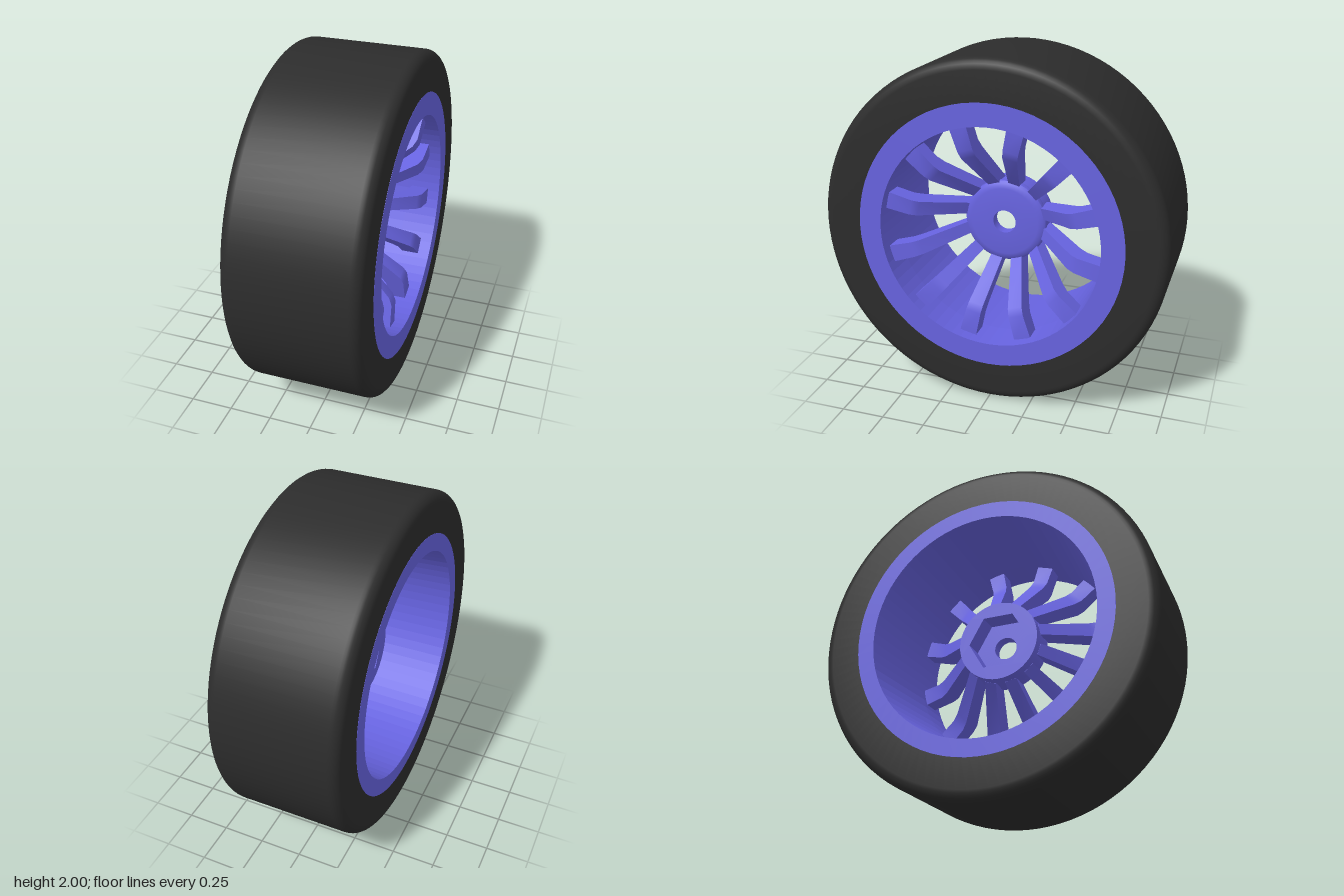
import * as THREE from 'three';
import { toCreasedNormals } from 'three/addons/utils/BufferGeometryUtils.js';

const rubber = new THREE.MeshStandardMaterial({ color: 0x2c2c2c });
const paint = new THREE.MeshStandardMaterial({ color: 0x6763e0 });

// Ring turned around the x axis; the closed profile lists [radius, x], outer side towards +x
function turned(name, profile, material, segments, crease) {
  const points = [...profile, profile[0]].map(([r, x]) => new THREE.Vector2(r, x));
  const geo = new THREE.LatheGeometry(points, segments);
  geo.rotateZ(-Math.PI / 2);
  const mesh = new THREE.Mesh(toCreasedNormals(geo, crease), material);
  mesh.name = name;
  return mesh;
}

// Tyre with rounded shoulders
function makeTyre() {
  const half = 0.375, round = 0.06, steps = 6;
  const profile = [[0.765, -half]];
  for (const side of [-1, 1]) {
    for (let i = 0; i <= steps; i++) {
      const t = (side < 0 ? i : steps - i) / steps * Math.PI / 2;
      profile.push([1 - round + round * Math.sin(t), side * (half - round + round * Math.cos(t))]);
    }
  }
  profile.push([0.765, half]);
  return turned('tyre', profile, rubber, 96, 0.6);
}

// Spoke: side profile extruded across its width, tapering towards the hub
function makeSpokeGeometry() {
  const profile = [
    [0.02, 0.2], [0.06, 0.24], [0.28, 0.455], [0.3, 0.5], [0.305, 0.65],
    [0.2, 0.65], [0.19, 0.53], [0.16, 0.48], [-0.06, 0.24], [-0.06, 0.2],
  ];
  const shape = new THREE.Shape(profile.map(([x, r]) => new THREE.Vector2(x, r)));
  const geo = new THREE.ExtrudeGeometry(shape, { depth: 1, bevelEnabled: false });
  geo.translate(0, 0, -0.5);
  const pos = geo.attributes.position;
  for (let i = 0; i < pos.count; i++) {
    const width = THREE.MathUtils.mapLinear(pos.getY(i), 0.24, 0.64, 0.07, 0.1);
    pos.setZ(i, pos.getZ(i) * width);
  }
  return toCreasedNormals(geo, 0.7);
}

// Hexagonal drive socket at the back of the hub
function makeSocket() {
  const shape = new THREE.Shape().absarc(0, 0, 0.24, 0, Math.PI * 2);
  const hex = new THREE.Path();
  for (let i = 0; i < 6; i++) {
    const a = -i * Math.PI / 3;
    hex[i ? 'lineTo' : 'moveTo'](0.18 * Math.cos(a), 0.18 * Math.sin(a));
  }
  hex.closePath();
  shape.holes.push(hex);
  const geo = new THREE.ExtrudeGeometry(shape, { depth: 0.13, bevelEnabled: false, curveSegments: 24 });
  geo.rotateY(Math.PI / 2);
  geo.translate(-0.12, 0, 0);
  const mesh = new THREE.Mesh(toCreasedNormals(geo, 0.6), paint);
  mesh.name = 'hexSocket';
  return mesh;
}

export function createModel() {
  const wheel = new THREE.Group();
  wheel.name = 'wheel';
  wheel.position.y = 1;

  wheel.add(makeTyre());

  // Rim barrel, slightly wider inside at the open back
  wheel.add(turned('rim', [
    [0.67, -0.376], [0.77, -0.376], [0.77, 0.376], [0.64, 0.376], [0.64, 0.17],
  ], paint, 72, 0.05));

  // Hub plate with a rounded front edge and an axle bore
  wheel.add(turned('hub', [
    [0.068, 0], [0.24, 0], [0.245, 0.02], [0.243, 0.045], [0.23, 0.058], [0.2, 0.065], [0.068, 0.065],
  ], paint, 48, 0.7));
  wheel.add(makeSocket());

  const spokes = new THREE.Group();
  spokes.name = 'spokes';
  const spokeGeometry = makeSpokeGeometry();
  for (let i = 0; i < 12; i++) {
    const spoke = new THREE.Mesh(spokeGeometry, paint);
    spoke.name = 'spoke';
    spoke.rotation.x = -THREE.MathUtils.degToRad(13 + i * 30);
    spokes.add(spoke);
  }
  wheel.add(spokes);

  const model = new THREE.Group();
  model.add(wheel);
  return model;
}
